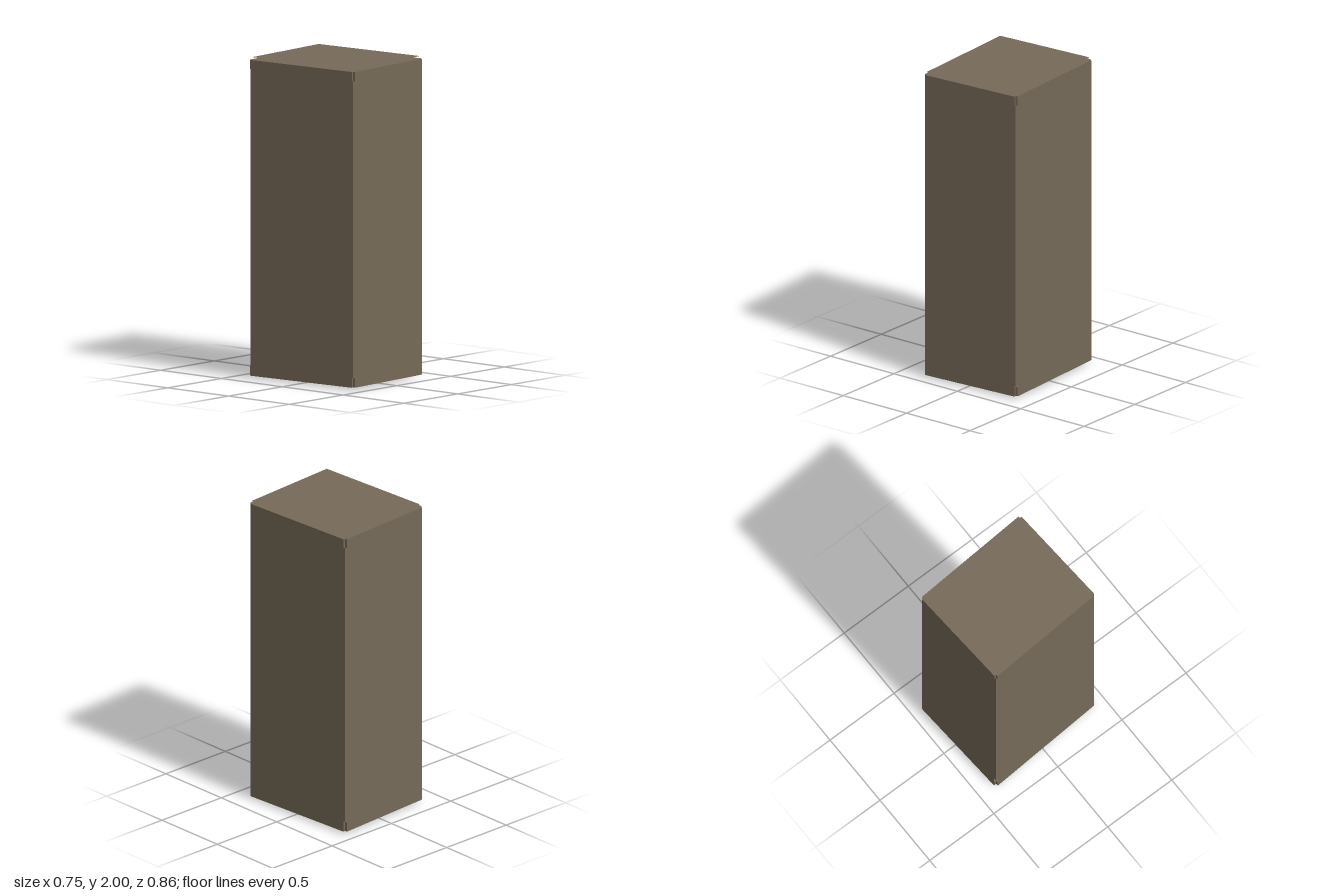
import * as THREE from 'three';

export function createModel() {
  const model = new THREE.Group();
  model.name = 'cabinet';
  const taupe = new THREE.MeshStandardMaterial({ color: 0x766a58 });
  taupe.name = 'taupe';

  const W = 0.67, H = 1.968, D = 0.79; // core size
  const gap = 0.016;                   // how far the plates stand off the core
  const rim = 0.06;                    // width of the border round each panel

  const add = (name, geometry, parent = model) => {
    const mesh = new THREE.Mesh(geometry, taupe);
    mesh.name = name;
    parent.add(mesh);
    return mesh;
  };

  // Core, with collars that carry the side plates at top and bottom
  add('core', new THREE.BoxGeometry(W, H, D));
  for (const s of [-1, 1]) {
    const y = s * (H - rim) / 2;
    const thick = 2 * gap - 0.004;
    add('sideRail', new THREE.BoxGeometry(W + thick, rim, D)).position.y = y;
    add('frontRail', new THREE.BoxGeometry(W, rim, D + thick)).position.y = y;
  }

  // Outer plate: a border frame with a flush panel inside
  const rect = (w, h, Type) => new Type([
    new THREE.Vector2(-w / 2, -h / 2), new THREE.Vector2(w / 2, -h / 2),
    new THREE.Vector2(w / 2, h / 2), new THREE.Vector2(-w / 2, h / 2),
  ]);
  const plate = (name, w, h, distance, rx, ry) => {
    const group = new THREE.Group();
    group.name = name;
    const border = rect(w, h, THREE.Shape);
    border.holes.push(rect(w - 2 * rim, h - 2 * rim, THREE.Path));
    add('border', new THREE.ShapeGeometry(border), group);
    add('panel', new THREE.PlaneGeometry(w - 2 * rim, h - 2 * rim), group);
    group.rotation.set(rx, ry, 0);
    group.translateZ(distance + gap);
    model.add(group);
  };
  const q = Math.PI / 2;
  plate('frontPlate', W, H, D / 2, 0, 0);
  plate('backPlate', W, H, D / 2, 0, 2 * q);
  plate('leftPlate', D, H, W / 2, 0, q);
  plate('rightPlate', D, H, W / 2, 0, -q);
  plate('topPlate', W, D, H / 2, -q, 0);
  plate('bottomPlate', W, D, H / 2, q, 0);

  // The whole body stands slightly turned
  model.rotation.y = 0.063;
  model.position.y = H / 2 + gap;
  const root = new THREE.Group();
  root.name = 'model';
  root.add(model);
  return root;
}
